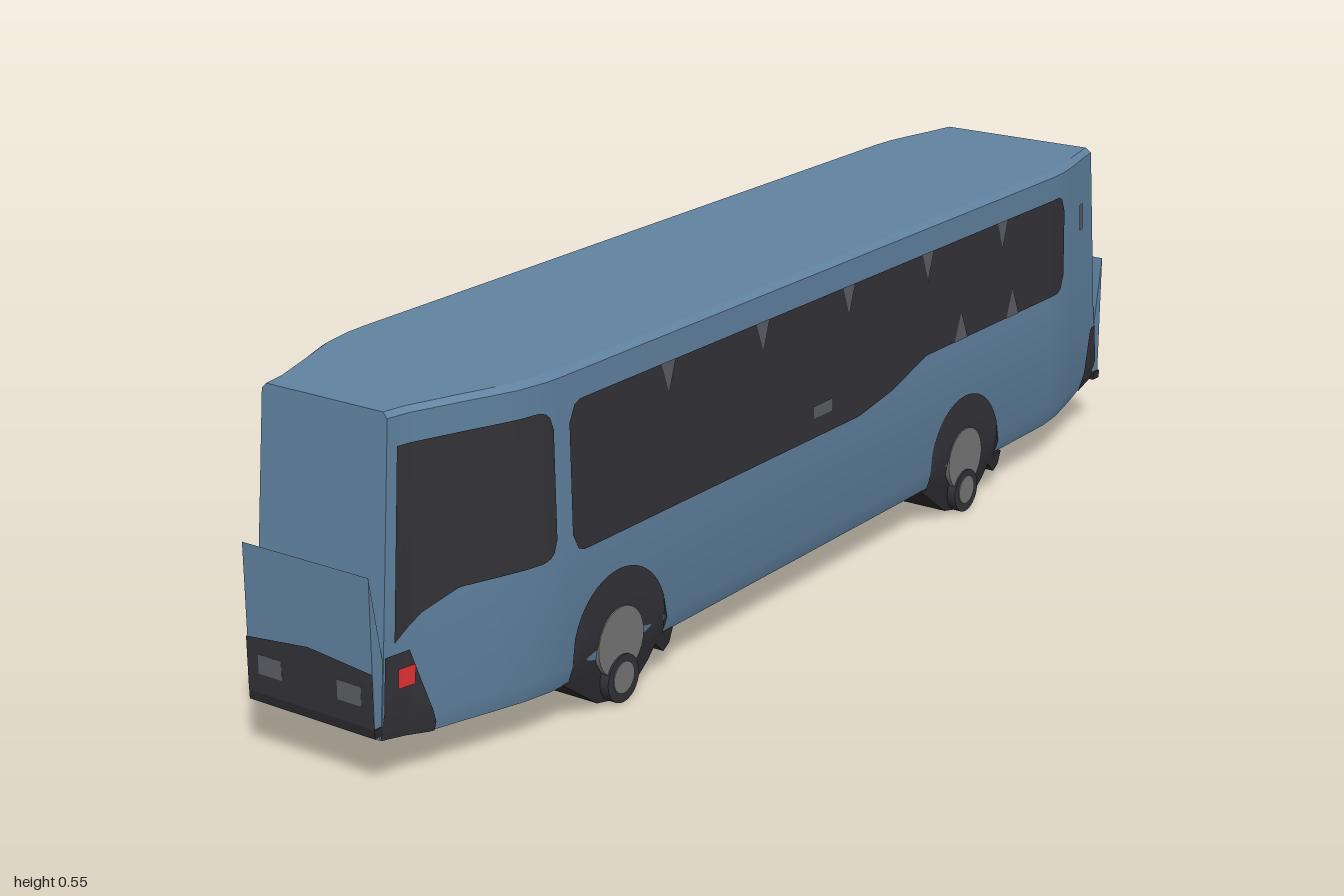
import * as THREE from 'three';
import { toCreasedNormals } from 'three/addons/utils/BufferGeometryUtils.js';

const paint = (name, color) => Object.assign(new THREE.MeshStandardMaterial({ color }), { name });

// piecewise linear lookup in [x, value] pairs
function lerpTable(table, x) {
  if (x <= table[0][0]) return table[0][1];
  for (let i = 1; i < table.length; i++) {
    const [x0, v0] = table[i - 1], [x1, v1] = table[i];
    if (x <= x1) return v0 + (v1 - v0) * (x - x0) / (x1 - x0);
  }
  return table[table.length - 1][1];
}

// half width in plan and height of the lower edge along the bus
const PLAN = [[-0.985, 0.12], [-0.94, 0.127], [-0.9, 0.14], [-0.85, 0.156], [-0.8, 0.173], [-0.75, 0.189],
  [-0.7, 0.199], [-0.66, 0.201], [0.74, 0.201], [0.79, 0.198], [0.85, 0.188], [0.92, 0.174], [0.985, 0.163]];
const SILL = [[-0.985, 0.078], [-0.9, 0.066], [0.65, 0.066], [0.8, 0.075], [0.985, 0.094]];

// the ends lean inward towards the roof
function lean(u, y) {
  const k = THREE.MathUtils.clamp((Math.abs(u) - 0.75) / 0.235, 0, 1);
  return u - Math.sign(u) * 0.04 * k * (y - 0.09) / 0.45;
}
const sideZ = (u, y) => {
  const sill = lerpTable(SILL, u);
  const tuck = y < sill + 0.03 ? 0.95 + 0.05 * (y - sill) / 0.03 : 1 - 0.035 * (y - sill - 0.03) / (0.51 - sill);
  return lerpTable(PLAN, u) * tuck;
};

// surface from rows of points
function grid(rows, flip = false) {
  const n = rows[0].length, index = [];
  for (let i = 0; i < rows.length - 1; i++) for (let j = 0; j < n - 1; j++) {
    const a = i * n + j, b = a + 1, c = a + n, d = c + 1;
    index.push(...(flip ? [a, b, c, b, d, c] : [a, c, b, b, c, d]));
  }
  const g = new THREE.BufferGeometry();
  g.setAttribute('position', new THREE.Float32BufferAttribute(rows.flat(2), 3));
  g.setIndex(index);
  return toCreasedNormals(g, 0.5);
}

export function createModel() {
  const bus = new THREE.Group();
  bus.name = 'bus';
  const blue = paint('body blue', 0x6082a0);
  const dark = paint('window dark', 0x333238);
  const black = paint('underside black', 0x29292c);
  const grey = paint('bumper grey', 0x5d5e64);
  const silver = paint('hub grey', 0x777777);
  const red = paint('lamp red', 0xe03032);

  const add = (name, geometry, material, x = 0, y = 0, z = 0) => {
    const mesh = new THREE.Mesh(geometry, material);
    mesh.name = name;
    mesh.position.set(x, y, z);
    bus.add(mesh);
  };

  // body shell: half section swept along the bus
  const rows = [], floor = [];
  for (const [u] of PLAN) {
    const sill = lerpTable(SILL, u), w = lerpTable(PLAN, u);
    const half = [[sill, sideZ(u, sill)], [sill + 0.03, w], [0.3, sideZ(u, 0.3)], [0.538, sideZ(u, 0.538)], [0.546, w * 0.9]];
    const at = ([y, z], s) => [lean(u, y), y, s * z];
    rows.push([...half.map(p => at(p, 1)), ...half.slice().reverse().map(p => at(p, -1))]);
    floor.push([at(half[0], 1), at(half[0], -1)]);
  }
  add('bodyShell', grid(rows), blue);
  add('floor', grid(floor, true), black);

  // end walls
  for (const [name, ring, flip] of [['frontWall', rows[0], true], ['rearWall', rows[rows.length - 1], false]])
    add(name, grid(ring.slice(0, 5).map((p, i) => [ring[9 - i], p]), flip), blue);

  // thin painted panel that follows the sides, given lower and upper edges over u
  function sidePatch(name, u0, u1, low, high, material, offset = 0.003, steps = 24) {
    for (const s of [1, -1]) {
      const cols = [];
      for (let i = 0; i <= steps; i++) {
        const u = u0 + (u1 - u0) * i / steps, a = low(u), b = Math.max(a, high(u));
        cols.push([0, 0.33, 0.67, 1].map(t => {
          const y = a + (b - a) * t;
          return [lean(u, y), y, s * (sideZ(u, y) + offset)];
        }));
      }
      add(name, grid(cols, s < 0), material);
    }
  }

  // side windows with rounded corners
  const corner = (u, u0, u1, r) => {
    const d = Math.max(0, r - Math.min(u - u0, u1 - u));
    return r - Math.sqrt(Math.max(0, r * r - d * d));
  };
  const sillLine = [[0.1, 0.268], [0.2, 0.285], [0.31, 0.318], [0.8, 0.318]];
  sidePatch('mainWindow', -0.655, 0.79, u => lerpTable(sillLine, u) + corner(u, -0.655, 0.79, 0.03),
    u => 0.497 - corner(u, -0.655, 0.79, 0.03), dark, 0.002, 120);
  const frontSill = [[-0.97, 0.215], [-0.92, 0.25], [-0.86, 0.272]];
  sidePatch('frontWindow', -0.968, -0.69, u => lerpTable(frontSill, u) + corner(u, -1.1, -0.69, 0.03),
    u => 0.497 - corner(u, -1.1, -0.69, 0.03), dark, 0.003, 40);

  // pillar tips at the upper window edge, and seat tops at the lower one
  for (const c of [-0.42, -0.175, 0.068, 0.31, 0.557])
    sidePatch('pillarTip', c - 0.018, c + 0.018, u => 0.498 - 0.05 * (1 - Math.abs(u - c) / 0.018), () => 0.498, grey, 0.0035, 4);
  for (const c of [0.42, 0.595])
    sidePatch('seatTop', c - 0.022, c + 0.022, () => 0.318, u => 0.318 + 0.052 * (1 - Math.abs(u - c) / 0.022), grey, 0.0035, 4);
  sidePatch('windowGlint', -0.035, 0.02, () => 0.3, () => 0.322, grey, 0.0035, 2);
  sidePatch('sideVent', 0.89, 0.912, () => 0.408, () => 0.457, grey, 0.003, 2);

  // dark lower corners and front marker lamps
  sidePatch('rearCorner', 0.91, 0.985, u => lerpTable(SILL, u), u => 0.1 + 0.1 * Math.min(1, (u - 0.91) / 0.05), dark, 0.002, 8);
  sidePatch('frontCorner', -0.985, -0.895, u => lerpTable(SILL, u), u => u < -0.94 ? 0.2 : 0.2 - 0.12 * (u + 0.94) / 0.045, dark, 0.003, 12);
  sidePatch('markerLamp', -0.963, -0.933, () => 0.149, () => 0.178, red, 0.006, 2);

  // wheels: arch, full width underside hump, hub and outer cap
  for (const c of [-0.55, 0.44]) {
    sidePatch('wheelArch', c - 0.115, c + 0.115, () => 0.066,
      u => 0.097 + Math.sqrt(Math.max(0, 0.115 ** 2 - (u - c) ** 2)), dark, 0.002, 32);
    const hump = new THREE.Shape([[-0.125, 0.068], [-0.08, 0.035], [-0.045, 0.01], [0, 0], [0.045, 0.01], [0.08, 0.035],
      [0.1, 0.055], [0.12, 0.036], [0.135, 0.045], [0.145, 0.068]].map(([x, y]) => new THREE.Vector2(c + x, y)));
    add('underHump', new THREE.ExtrudeGeometry(hump, { depth: 0.384, bevelEnabled: false }), black, 0, 0, -0.192);
    for (const s of [1, -1]) {
      const disc = (name, r, y, z, depth, material) => {
        const g = new THREE.CylinderGeometry(r, r, depth, 28).rotateX(Math.PI / 2);
        add(name, g, material, c, y, s * (z - depth / 2));
      };
      disc('hub', 0.055, 0.097, 0.2042, 0.008, silver);
      disc('capRing', 0.038, 0.038, 0.2075, 0.03, dark);
      disc('cap', 0.025, 0.04, 0.209, 0.01, silver);
    }
  }

  // upright end panels, open towards the body at the top
  const endPanel = (name, pts, halfZ) => {
    const shape = new THREE.Shape(pts.map(p => new THREE.Vector2(...p)));
    add(name, new THREE.ExtrudeGeometry(shape, { depth: 2 * halfZ, bevelEnabled: false }), blue, 0, 0, -halfZ);
  };
  endPanel('rearPanel', [[0.978, 0.096], [0.998, 0.105], [0.998, 0.325], [0.974, 0.19]], 0.162);
  endPanel('frontPanel', [[-0.978, 0.08], [-0.998, 0.1], [-0.998, 0.325], [-0.972, 0.17]], 0.118);

  // bumpers with a peaked upper edge
  for (const [name, s, w, low, material] of [['rearBumper', 1, 0.165, 0.105, grey], ['frontBumper', -1, 0.119, 0.1, dark]]) {
    const cols = [[-w, 0.183], [0, 0.195], [w, 0.183]].map(([z, y]) => [[s * 0.9995, low, z], [s * 0.9995, y, z]]);
    add(name, grid(cols, s > 0), material);
    add(name + 'Underside', new THREE.BoxGeometry(0.022, 0.014, 2 * w), black, s * 0.988, low - 0.007, 0);
  }

  // lamps
  for (const s of [1, -1]) {
    add('tailLamp', new THREE.BoxGeometry(0.004, 0.031, 0.044), red, 0.998, 0.277, s * 0.098);
    add('headLamp', new THREE.BoxGeometry(0.003, 0.03, 0.045), grey, -0.9985, 0.145, s * 0.075);
  }
  return bus;
}
